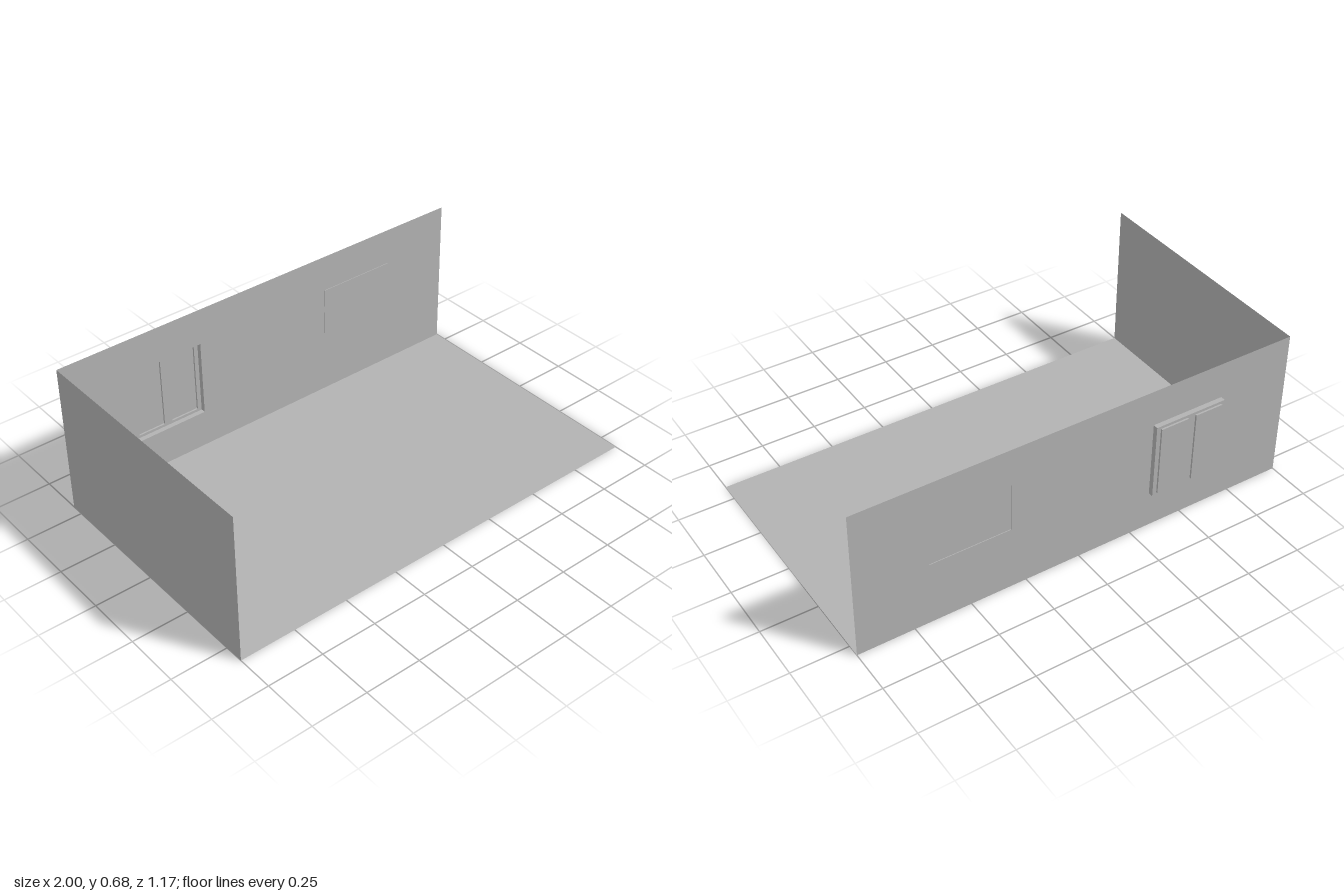
import * as THREE from 'three';

const grey = new THREE.MeshStandardMaterial({ color: 0xb2b2b2, side: THREE.DoubleSide });
grey.name = 'plain grey';

const WALL_Z = -0.555, FRONT_Z = 0.585, HEIGHT = 0.68;

// Rectangles are [x0, x1, y0, y1]
const corners = ([x0, x1, y0, y1]) => [[x0, y0], [x1, y0], [x1, y1], [x0, y1]].map(p => new THREE.Vector2(...p));

function add(parent, name, geometry, x = 0, y = 0, z = 0) {
  const mesh = new THREE.Mesh(geometry, grey);
  mesh.name = name;
  mesh.position.set(x, y, z);
  parent.add(mesh);
  return mesh;
}

// Flat upright sheet with rectangular openings
function sheet(parent, name, rect, z, holes = []) {
  const shape = new THREE.Shape(corners(rect));
  holes.forEach(h => shape.holes.push(new THREE.Path(corners(h).reverse())));
  return add(parent, name, new THREE.ShapeGeometry(shape), 0, 0, z);
}

// Shallow tray: four rim strips running from z0 to z1, closed by a sheet at z1
function tray(parent, name, rect, z0, z1, holes = []) {
  const group = new THREE.Group();
  group.name = name;
  const [x0, x1, y0, y1] = rect;
  const depth = Math.abs(z1 - z0), mid = (z0 + z1) / 2;
  for (const y of [y0, y1]) {
    add(group, 'rim', new THREE.PlaneGeometry(x1 - x0, depth), (x0 + x1) / 2, y, mid)
      .rotation.x = y === y0 ? -Math.PI / 2 : Math.PI / 2;
  }
  for (const x of [x0, x1]) {
    add(group, 'rim', new THREE.PlaneGeometry(depth, y1 - y0), x, (y0 + y1) / 2, mid)
      .rotation.y = x === x0 ? Math.PI / 2 : -Math.PI / 2;
  }
  sheet(group, 'panel', rect, z1, holes);
  parent.add(group);
}

export function createModel() {
  const room = new THREE.Group();
  room.name = 'room';
  const depth = FRONT_Z - WALL_Z, midZ = (FRONT_Z + WALL_Z) / 2;

  // Floor and side wall
  add(room, 'floor', new THREE.PlaneGeometry(2, depth), 0, 0, midZ).rotation.x = -Math.PI / 2;
  add(room, 'sideWall', new THREE.PlaneGeometry(depth, HEIGHT), -1, HEIGHT / 2, midZ).rotation.y = Math.PI / 2;

  // Back wall with its two openings
  const windowRect = [-0.667, -0.335, 0.17, 0.515];
  const panelRect = [0.32, 0.68, 0.293, 0.513];
  sheet(room, 'backWall', [-1, 1, 0, HEIGHT], WALL_Z, [windowRect, panelRect]);

  // Window recess with two deeper sashes
  const sashes = [[-0.65, -0.522, 0.182, 0.503], [-0.484, -0.354, 0.182, 0.503]];
  tray(room, 'windowFrame', windowRect, WALL_Z, -0.577, sashes);
  sashes.forEach(s => tray(room, 'windowSash', s, -0.577, -0.585));

  // Thin wall panel
  tray(room, 'wallPanel', panelRect, WALL_Z, WALL_Z + 0.003);
  return room;
}
